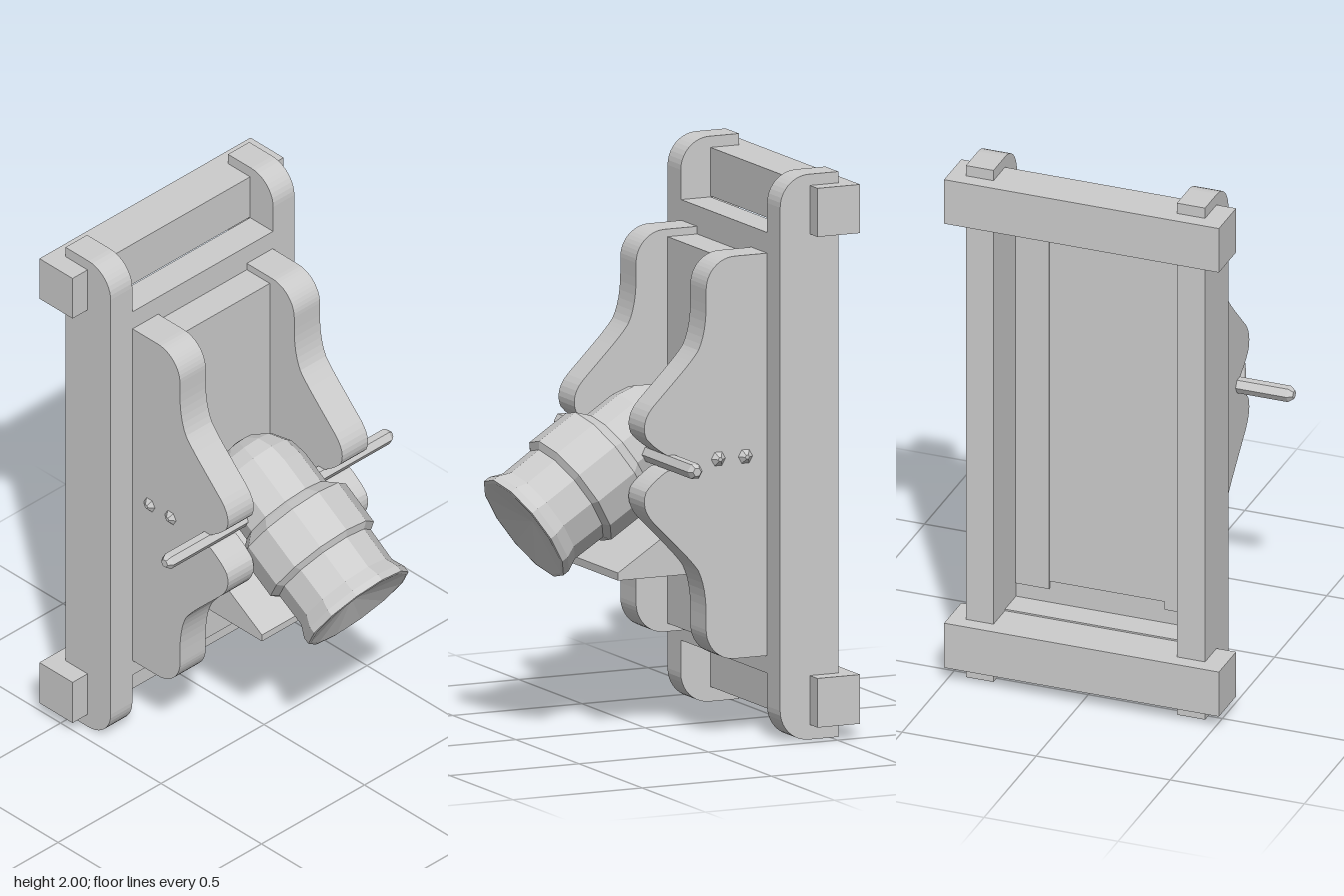
import * as THREE from 'three';

const iron = new THREE.MeshStandardMaterial({ color: 0xcccccc, flatShading: true });
iron.name = 'plain grey';

const MID = 1.0; // height about which the carriage is symmetric

function add(parent, name, geometry, x = 0, y = 0, z = 0) {
  const mesh = new THREE.Mesh(geometry, iron);
  mesh.name = name;
  mesh.position.set(x, y, z);
  parent.add(mesh);
  return mesh;
}

// Box given by its limits on each axis
function slab(parent, name, x0, x1, y0, y1, z0, z1) {
  return add(parent, name, new THREE.BoxGeometry(x1 - x0, y1 - y0, z1 - z0),
    (x0 + x1) / 2, (y0 + y1) / 2, (z0 + z1) / 2);
}

// Side profile drawn in (z, y), extruded across x from x0 to x1
function sidePiece(parent, name, points, x0, x1) {
  const geometry = new THREE.ExtrudeGeometry(new THREE.Shape(points), { depth: x1 - x0, bevelEnabled: false });
  geometry.rotateY(-Math.PI / 2);
  return add(parent, name, geometry, x1, 0, 0);
}

// Mirrors an upper half outline (heights measured from MID) downward
function mirrored(path, divisions) {
  const upper = path.getPoints(divisions);
  const lower = upper.map(p => new THREE.Vector2(p.x, -p.y)).reverse();
  return [...upper, ...lower].map(p => new THREE.Vector2(p.x, p.y + MID));
}

export function createModel() {
  const model = new THREE.Group();
  model.name = 'mortarOnCarriage';

  // Long rails with rounded front corners
  const rail = new THREE.Path();
  rail.moveTo(-0.53, 1);
  rail.lineTo(-0.415, 1);
  rail.absarc(-0.415, 0.89, 0.11, Math.PI / 2, 0, true);
  const railPoints = mirrored(rail, 5);
  sidePiece(model, 'rightRail', railPoints, -0.447, -0.342);
  sidePiece(model, 'leftRail', railPoints, 0.342, 0.445);

  // Crossbars behind the rails
  slab(model, 'upperCrossbar', -0.52, 0.505, 1.788, 1.96, -0.585, -0.42);
  slab(model, 'lowerCrossbar', -0.52, 0.505, 0.052, 0.226, -0.585, -0.42);

  // Bed, a shallow tray open at the back
  const bed = new THREE.Group();
  bed.name = 'bed';
  model.add(bed);
  slab(bed, 'bedFront', -0.342, 0.342, 0.226, 1.785, -0.314, -0.306);
  slab(bed, 'bedTop', -0.342, 0.342, 1.779, 1.785, -0.42, -0.308);
  slab(bed, 'bedBottom', -0.342, 0.342, 0.226, 0.232, -0.42, -0.308);
  slab(model, 'bedPlate', -0.217, 0.217, 0.317, 1.685, -0.32, -0.192);

  // Curved cheeks with a notch for the trunnion
  const cheek = new THREE.Path();
  cheek.moveTo(-0.324, 0.712);
  cheek.lineTo(-0.18, 0.712);
  cheek.absarc(-0.18, 0.602, 0.11, Math.PI / 2, 0, true);
  cheek.lineTo(-0.07, 0.55);
  cheek.quadraticCurveTo(-0.07, 0.45, -0.04, 0.39);
  cheek.quadraticCurveTo(-0.02, 0.36, 0.04, 0.3);
  cheek.lineTo(0.135, 0.205);
  cheek.quadraticCurveTo(0.185, 0.15, 0.162, 0.095);
  cheek.quadraticCurveTo(0.14, 0.065, 0.085, 0.03);
  cheek.lineTo(0.05, 0.02);
  const cheekPoints = mirrored(cheek, 6);
  for (const [side, x0, x1] of [['right', -0.34, -0.215], ['left', 0.215, 0.34]]) {
    sidePiece(model, side + 'Cheek', cheekPoints, x0, x1);
    // Bolt heads on the outer face
    const sign = side === 'left' ? 1 : -1;
    for (const z of [-0.117, -0.222]) {
      const bolt = add(model, side + 'Bolt', new THREE.CylinderGeometry(0.008, 0.029, 0.017, 6), sign * 0.3475, MID, z);
      bolt.rotation.z = -sign * Math.PI / 2;
    }
  }

  // Wedge below the barrel
  sidePiece(model, 'wedge', [[-0.2, 0.575], [0.21, 0.575], [0.21, 0.602], [-0.2, 0.865]]
    .map(p => new THREE.Vector2(...p)), -0.215, 0.215);

  // Trunnion rod with chamfered ends
  const rod = [[0, -0.548], [0.016, -0.548], [0.029, -0.53], [0.029, 0.53], [0.016, 0.548], [0, 0.548]];
  const trunnion = add(model, 'trunnion',
    new THREE.LatheGeometry(rod.map(p => new THREE.Vector2(...p)), 6), 0, MID + 0.003, 0.066);
  trunnion.rotation.z = Math.PI / 2;
  trunnion.geometry.rotateY(0);

  // Barrel: domed chamber, thick band, neck, lip and shallow bore; muzzle at local 0
  const profile = [];
  for (let i = 0; i <= 4; i++) {
    const a = (i / 4) * Math.PI / 2;
    profile.push([0.172 * Math.sin(a), -0.552 - 0.172 * Math.cos(a)]);
  }
  profile.push([0.172, -0.425], [0.185, -0.415], [0.222, -0.382], [0.222, -0.215], [0.197, -0.198],
    [0.195, -0.07], [0.215, -0.025], [0.215, 0], [0.203, 0.002], [0, -0.04]);
  const barrel = add(model, 'barrel',
    new THREE.LatheGeometry(profile.map(p => new THREE.Vector2(...p)), 12), 0, 0.745, 0.47);
  barrel.rotation.x = Math.PI / 2 + THREE.MathUtils.degToRad(33);

  return model;
}
